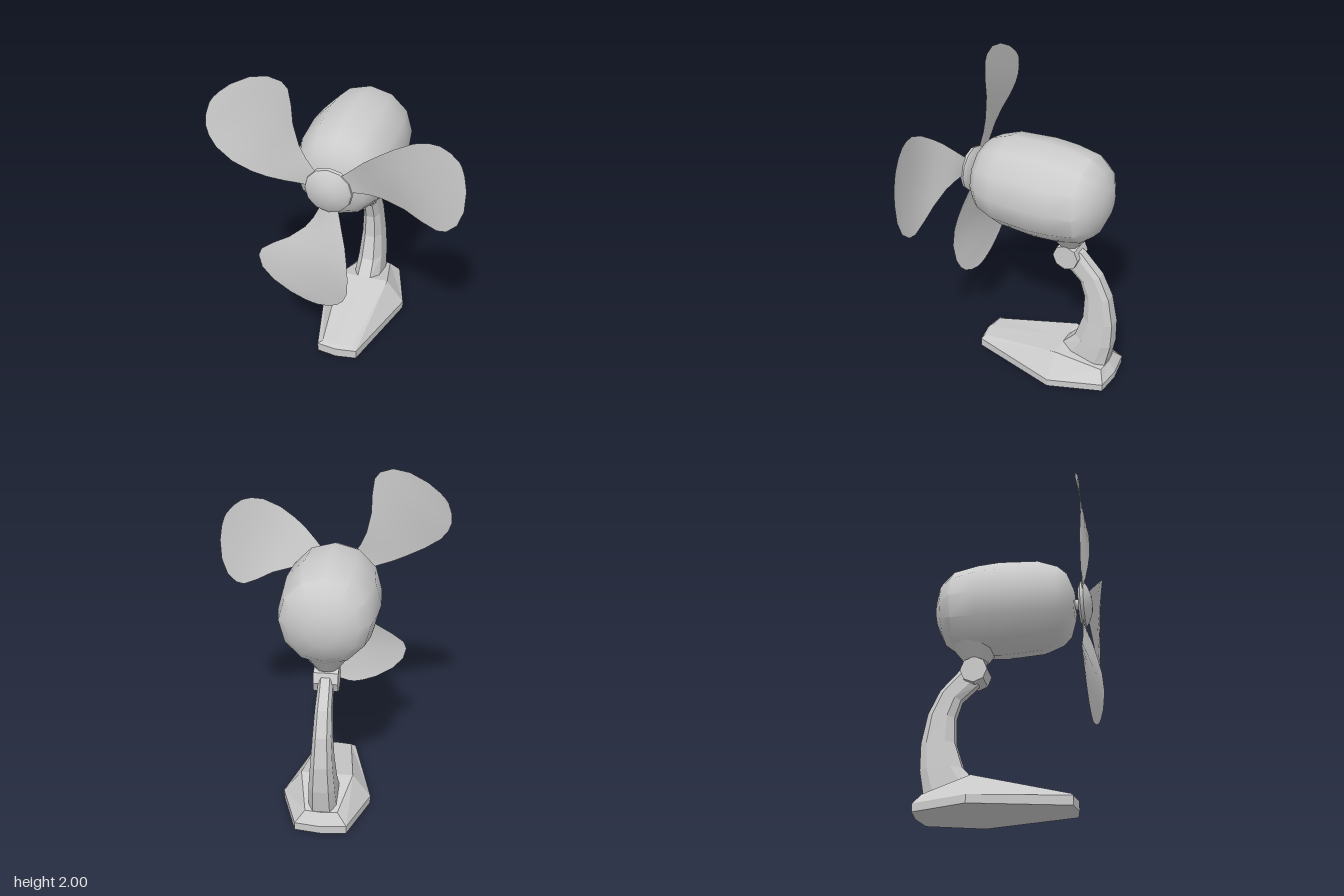
import * as THREE from 'three';
import { toCreasedNormals } from 'three/addons/utils/BufferGeometryUtils.js';

const CX = -0.05, HUB_Y = 1.32;
const grey = new THREE.MeshStandardMaterial({ color: 0xcccccc });
const flat = new THREE.MeshStandardMaterial({ color: 0xcccccc, flatShading: true });
const thin = new THREE.MeshStandardMaterial({ color: 0xcccccc, side: THREE.DoubleSide });

function add(parent, name, geometry, material, x = 0, y = 0, z = 0) {
  const mesh = new THREE.Mesh(geometry, material);
  mesh.name = name;
  mesh.position.set(x, y, z);
  parent.add(mesh);
  return mesh;
}

// Mirrors a half ring of [x, y, z] points across x = 0 into a closed ring.
function mirrorRing(half) {
  const other = half.filter((p) => p[0] !== 0).map(([x, y, z]) => [-x, y, z]).reverse();
  return [...half, ...other];
}

// Skins rings running upward, anticlockwise from above, and caps both ends.
function loft(rings, topCentre) {
  const n = rings[0].length, pos = rings.flat(2), index = [];
  for (let i = 0; i < rings.length - 1; i++) {
    for (let j = 0; j < n; j++) {
      const a = i * n + j, b = i * n + ((j + 1) % n);
      index.push(a, b, b + n, a, b + n, a + n);
    }
  }
  const top = (rings.length - 1) * n, centre = rings.length * n;
  pos.push(...topCentre);
  for (let j = 0; j < n; j++) index.push(top + j, top + ((j + 1) % n), centre);
  for (let j = 1; j < n - 1; j++) index.push(0, j + 1, j);
  const g = new THREE.BufferGeometry();
  g.setAttribute('position', new THREE.Float32BufferAttribute(pos, 3));
  g.setIndex(index);
  g.computeVertexNormals();
  return g;
}

// Revolves [radius, z] points, listed back to front, around the z axis.
function latheZ(points, sides) {
  return new THREE.LatheGeometry(points.map(([r, z]) => new THREE.Vector2(r, z)), sides).rotateX(Math.PI / 2);
}

// One blade hanging down from the hub: rows of left and right edge points.
function bladeGeometry() {
  const rows = [
    [[-0.05, -0.06, 0.465], [0.05, -0.06, 0.465]],
    [[-0.065, -0.14, 0.465], [0.06, -0.14, 0.47]],
    [[-0.10, -0.21, 0.465], [0.09, -0.24, 0.505]],
    [[-0.15, -0.28, 0.468], [0.115, -0.33, 0.53]],
    [[-0.25, -0.37, 0.473], [0.13, -0.42, 0.55]],
    [[-0.35, -0.43, 0.48], [0.14, -0.54, 0.56]],
    [[-0.43, -0.49, 0.485], [0.13, -0.66, 0.548]],
    [[-0.45, -0.54, 0.49], [0.10, -0.73, 0.535]],
    [[-0.43, -0.62, 0.495], [0.06, -0.775, 0.525]],
    [[-0.36, -0.70, 0.497], [0, -0.805, 0.515]],
    [[-0.25, -0.77, 0.498], [-0.07, -0.82, 0.505]],
    [[-0.16, -0.805, 0.5], [-0.11, -0.817, 0.502]],
  ];
  const steps = 4, pos = [], index = [];
  rows.forEach(([l, r], i) => {
    for (let k = 0; k <= steps; k++) {
      pos.push(...l.map((v, c) => THREE.MathUtils.lerp(v, r[c], k / steps)));
      if (i === 0 || k === 0) continue;
      const d = i * (steps + 1) + k, u = d - steps - 1;
      index.push(u - 1, d - 1, d, u - 1, d, u);
    }
  });
  const g = new THREE.BufferGeometry();
  g.setAttribute('position', new THREE.Float32BufferAttribute(pos, 3));
  g.setIndex(index);
  g.computeVertexNormals();
  return g;
}

export function createModel() {
  const model = new THREE.Group();
  model.name = 'deskFan';

  // Base: eight-sided foot with a low rim and a faceted, sloping top
  const outline = [[0, 0.4], [0.13, 0.38], [0.28, -0.2], [0.16, -0.54], [0, -0.56]];
  const rimHeight = [0.06, 0.058, 0.05, 0.05, 0.05];
  const base = loft([
    mirrorRing(outline.map(([x, z]) => [x, 0, z])),
    mirrorRing(outline.map(([x, z], i) => [x, rimHeight[i], z])),
    mirrorRing([[0, 0.08, 0.375], [0.1, 0.078, 0.365], [0.165, 0.2, -0.2], [0.1, 0.12, -0.5], [0, 0.12, -0.51]]),
  ], [0, 0.2, -0.2]);
  add(model, 'base', base, flat, CX);

  // Arm: curved stem, each station given by outer z, y, inner z, y and half width
  const stations = [
    [-0.5, 0.1, -0.19, 0.19, 0.088],
    [-0.533, 0.28, -0.28, 0.29, 0.08],
    [-0.535, 0.45, -0.33, 0.45, 0.067],
    [-0.5, 0.64, -0.335, 0.61, 0.056],
    [-0.43, 0.79, -0.3, 0.72, 0.05],
    [-0.3, 0.93, -0.2, 0.81, 0.045],
    [-0.24, 0.95, -0.18, 0.86, 0.04],
  ];
  const profile = [[0.5, 1], [1, 0.75], [1, 0.2], [0.6, 0]];
  const armRings = stations.map(([oz, oy, iz, iy, w]) => mirrorRing(profile.map(([s, f]) => [
    s * w, THREE.MathUtils.lerp(oy, iy, f), THREE.MathUtils.lerp(oz, iz, f),
  ])));
  add(model, 'arm', loft(armRings, [0, 0.9, -0.21]), flat, CX);

  // Tilt pivot and the neck that joins it to the motor housing
  const pivot = new THREE.CylinderGeometry(0.085, 0.085, 0.15, 8).rotateZ(Math.PI / 2);
  add(model, 'pivot', pivot, flat, CX, 0.9, -0.215);
  const neck = new THREE.CylinderGeometry(0.17, 0.07, 0.13, 10);
  add(model, 'neck', neck, grey, CX, 1.035, -0.21);

  // Motor housing: rounded barrel
  const housing = latheZ([
    [0, -0.465], [0.1, -0.457], [0.21, -0.41], [0.27, -0.335], [0.298, -0.18], [0.307, -0.04],
    [0.293, 0.2], [0.25, 0.32], [0.2, 0.375], [0.1, 0.41], [0, 0.415],
  ], 12);
  add(model, 'motorHousing', toCreasedNormals(housing, 0.6), grey, CX, HUB_Y);

  // Rotor: shaft, hub and three twisted blades
  const rotor = new THREE.Group();
  rotor.name = 'rotor';
  rotor.position.set(CX, HUB_Y, 0);
  model.add(rotor);
  add(rotor, 'shaft', latheZ([[0.035, 0.4], [0.035, 0.46]], 8), grey);
  const hub = latheZ([
    [0, 0.44], [0.12, 0.44], [0.145, 0.455], [0.14, 0.475], [0.11, 0.495], [0.055, 0.515], [0, 0.52],
  ], 12);
  add(rotor, 'hub', toCreasedNormals(hub, 0.6), grey);
  const blade = bladeGeometry();
  for (let i = 0; i < 3; i++) {
    add(rotor, 'blade', blade, thin).rotation.z = (i * 2 * Math.PI) / 3;
  }
  return model;
}
